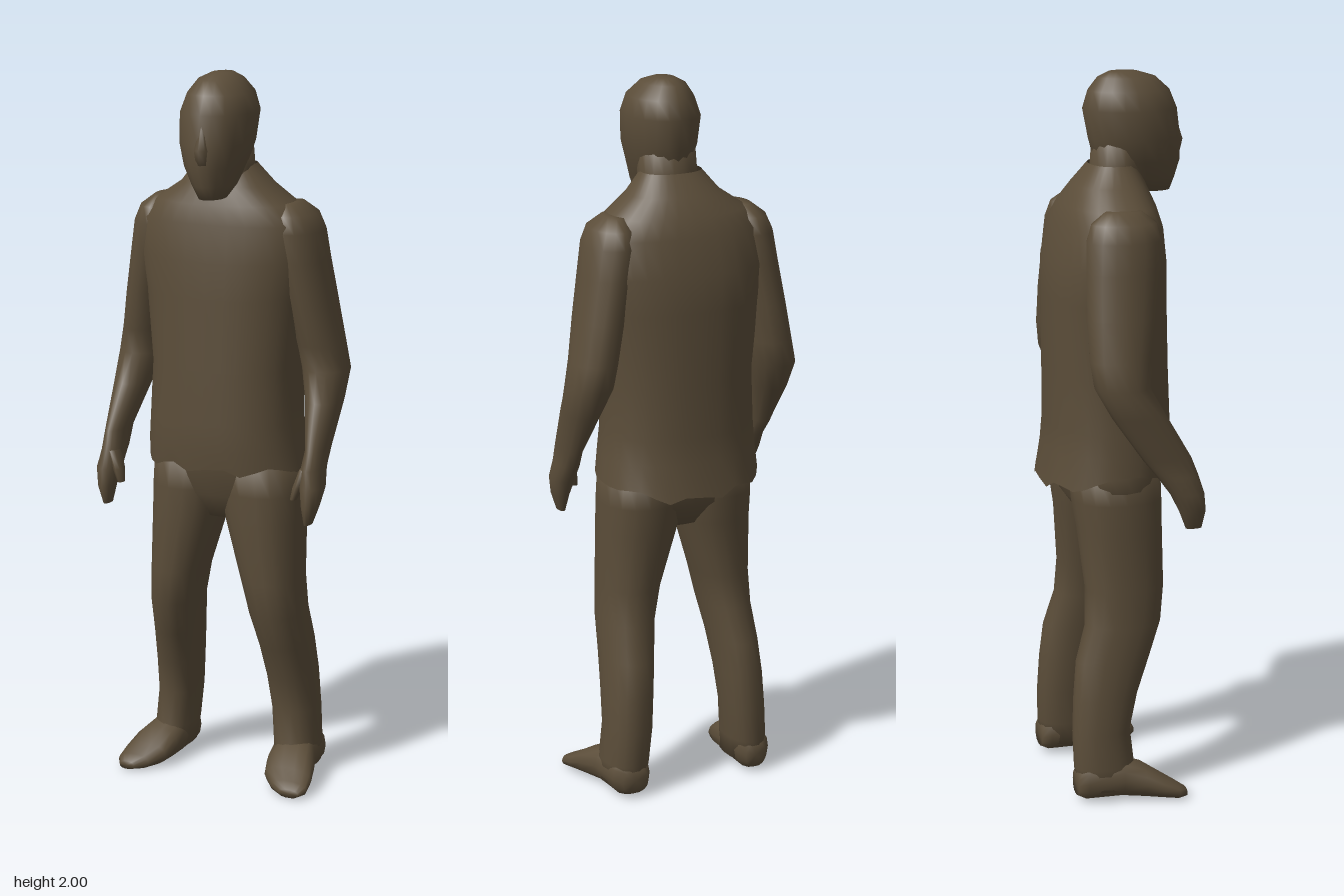
import * as THREE from 'three';

const cloth = new THREE.MeshStandardMaterial({ color: 0x5b4d39, side: THREE.DoubleSide });
cloth.name = 'dark brown';

// Skins a stack of rounded sections. Row: [level, x0, x1, d0, d1], where level runs
// down y and d is z. With alongZ, level runs forward along z and d is y.
function loft(name, rows, { n = 18, power = 2, caps = [true, true], alongZ = false, warp } = {}) {
  const pos = [], idx = [];
  const put = (x, l, d) => {
    const p = alongZ ? new THREE.Vector3(x, d, l) : new THREE.Vector3(x, l, d);
    if (warp) warp(p);
    pos.push(p.x, p.y, p.z);
  };
  const round = v => Math.sign(v) * Math.pow(Math.abs(v), 2 / power);
  for (const [l, x0, x1, d0, d1] of rows) {
    for (let j = 0; j < n; j++) {
      const a = (j / n) * Math.PI * 2;
      put((x0 + x1) / 2 + round(Math.cos(a)) * (x1 - x0) / 2, l,
        (d0 + d1) / 2 + round(Math.sin(a)) * (d1 - d0) / 2);
    }
  }
  for (let i = 0; i < rows.length - 1; i++) {
    for (let j = 0; j < n; j++) {
      const a = i * n + j, b = i * n + (j + 1) % n;
      idx.push(a, b, a + n, b, b + n, a + n);
    }
  }
  [0, rows.length - 1].forEach((r, end) => {
    if (!caps[end]) return;
    const [l, x0, x1, d0, d1] = rows[r], c = pos.length / 3;
    put((x0 + x1) / 2, l, (d0 + d1) / 2);
    for (let j = 0; j < n; j++) {
      const a = r * n + j, b = r * n + (j + 1) % n;
      if (end) idx.push(a, b, c); else idx.push(b, a, c);
    }
  });
  const g = new THREE.BufferGeometry();
  g.setAttribute('position', new THREE.Float32BufferAttribute(pos, 3));
  g.setIndex(idx);
  g.computeVertexNormals();
  const mesh = new THREE.Mesh(g, cloth);
  mesh.name = name;
  return mesh;
}

export function createModel() {
  const man = new THREE.Group();
  man.name = 'standingMan';

  // Head, leaning forward, with a slight nose ridge
  man.add(loft('head', [
    [2.0, -.02, .035, .0, .08],
    [1.985, -.05, .065, -.03, .13],
    [1.95, -.075, .098, -.055, .17],
    [1.9, -.093, .113, -.07, .19],
    [1.82, -.088, .105, -.055, .2],
    [1.76, -.07, .085, -.04, .2],
    [1.71, -.045, .07, .0, .187],
    [1.675, -.018, .05, .07, .175],
  ], { n: 20 }));
  man.add(loft('nose', [
    [1.87, .005, .025, .15, .193],
    [1.81, -.008, .038, .15, .213],
    [1.77, -.005, .035, .15, .203],
  ], { n: 8 }));
  man.add(loft('neck', [
    [1.83, -.07, .085, -.045, .1],
    [1.75, -.075, .09, -.05, .095],
    [1.64, -.09, .1, -.08, .1],
  ]));

  // Loose shirt with a ragged hem and a longer tail at the back
  man.add(loft('shirt', [
    [1.755, -.08, .09, -.055, .07],
    [1.7, -.125, .135, -.1, .095],
    [1.65, -.2, .2, -.13, .112],
    [1.6, -.248, .25, -.15, .125],
    [1.5, -.25, .25, -.175, .138],
    [1.4, -.23, .23, -.18, .142],
    [1.2, -.21, .21, -.18, .15],
    [1.05, -.217, .213, -.18, .155],
    [.98, -.222, .222, -.185, .155],
    [.925, -.225, .232, -.2, .15],
  ], {
    n: 32, power: 2.3, caps: [false, false],
    warp: p => {
      if (p.y > .95) return;
      p.y += .012 * Math.sin(p.x * 45) - (p.z < 0 ? p.z * p.z * 1.0 : 0);
    },
  }));

  // Hips
  man.add(loft('hips', [
    [1.02, -.2, .2, -.15, .13],
    [.92, -.225, .23, -.147, .115],
    [.84, -.2, .2, -.13, .1],
    [.77, -.1, .1, -.08, .06],
  ], { n: 24, power: 2.4 }));

  // Trouser legs
  const leg = [
    [.96, -.02, .225, -.145, .11],
    [.85, -.005, .23, -.138, .112],
    [.77, .008, .23, -.125, .112],
    [.6, .06, .23, -.11, .11],
    [.5, .083, .234, -.115, .098],
    [.4, .1, .24, -.145, .062],
    [.3, .11, .248, -.155, .025],
    [.2, .118, .252, -.16, .002],
    [.1, .128, .258, -.158, .012],
    [.035, .135, .258, -.15, .03],
  ];
  // Feet, from heel to toe, turned outwards
  const foot = [
    [-.155, .155, .235, .02, .09],
    [-.13, .14, .255, .008, .12],
    [-.03, .135, .265, .008, .12],
    [.03, .14, .285, .006, .1],
    [.08, .155, .297, .004, .068],
    [.12, .19, .3, .002, .045],
    [.145, .225, .285, .006, .03],
  ];
  for (const [side, s, drift] of [['left', 1, 0], ['right', -1, -.015]]) {
    // Mirrored rows, pulled slightly inwards on the right
    const flip = rows => rows.map(([l, a, b, c, d]) => {
      const x = [s * a, s * (b + drift)].sort((p, q) => p - q);
      return [l, ...x, c, d];
    });
    man.add(loft(side + 'TrouserLeg', flip(leg), { power: 2.2 }));
    man.add(loft(side + 'Foot', flip(foot), { n: 14, power: 2.3, alongZ: true }));

    // Sleeve and forearm, elbow held back; the right hand reaches further forward
    const reach = s < 0 ? .035 : 0;
    const arm = [
      [1.655, .165, .215, -.07, .03],
      [1.625, .14, .255, -.11, .07],
      [1.58, .13, .275, -.125, .08],
      [1.5, .15, .287, -.13, .075],
      [1.38, .18, .308, -.135, .06],
      [1.27, .2, .328, -.135, .04],
      [1.2, .212, .343, -.125, .025],
      [1.12, .238, .338, -.09, .06],
      [1.0, .268, .325, -.02, .115],
      [.95, .262, .325, .015, .13],
      [.9, .265, .332, .045, .14],
      [.85, .275, .322, .07, .145],
      [.8, .285, .305, .09, .135],
    ].map(([y, a, b, c, d]) => {
      const f = reach * THREE.MathUtils.clamp((1.2 - y) / .3, 0, 1);
      return [y, a, b, c + f, d + f];
    });
    const turn = rows => rows.map(([y, a, b, c, d]) =>
      s > 0 ? [y, a, b, c, d] : [y, -b, -a, c, d]);
    man.add(loft(side + 'Arm', turn(arm), { n: 16 }));
    man.add(loft(side + 'Thumb', turn([
      [.95, .265, .295, .07 + reach, .125 + reach],
      [.9, .248, .278, .085 + reach, .13 + reach],
      [.865, .243, .262, .1 + reach, .13 + reach],
    ]), { n: 8 }));
  }
  return man;
}
